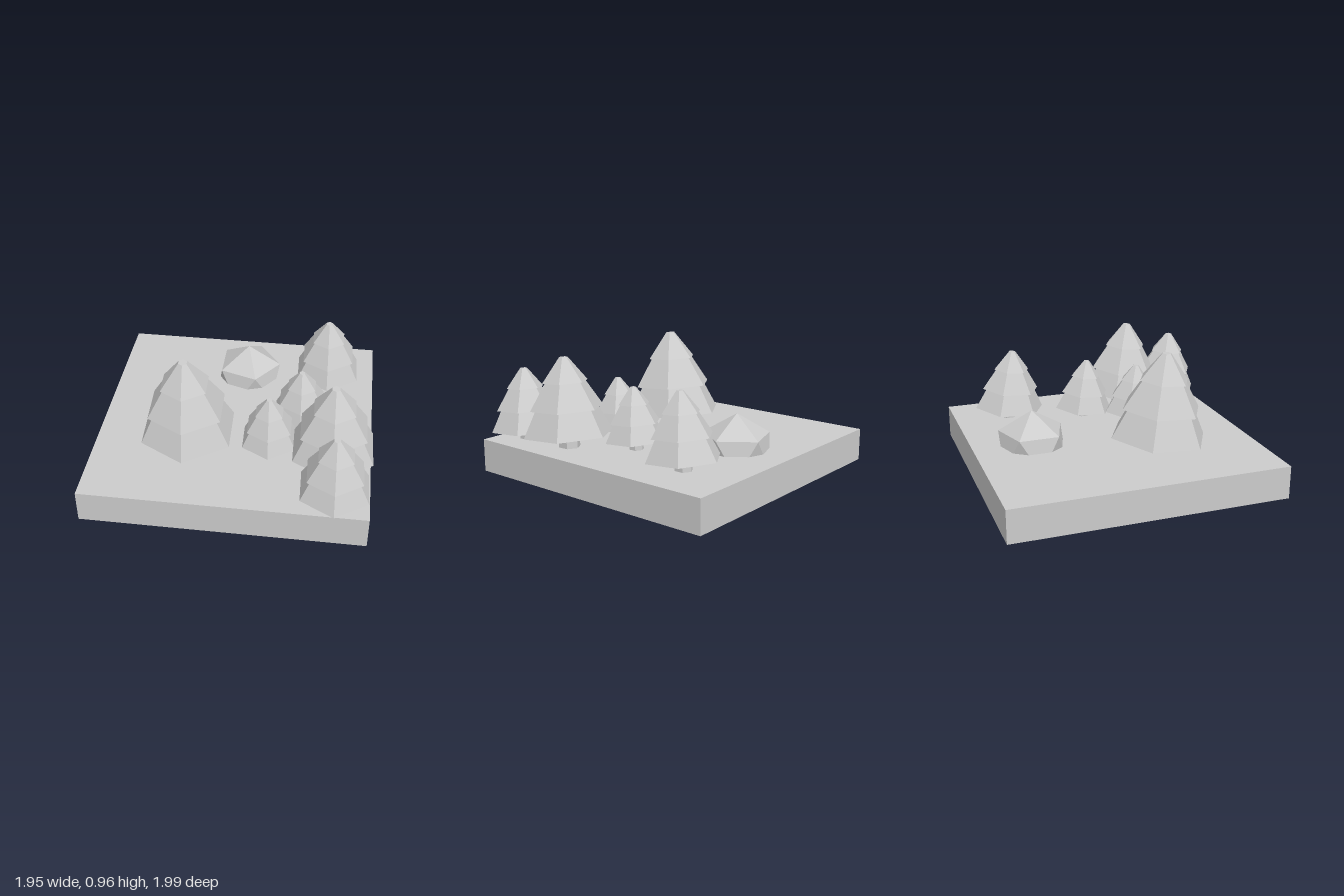
import * as THREE from 'three';

const material = new THREE.MeshStandardMaterial({ color: 0xcccccc, flatShading: true });

function addMesh(parent, name, geometry, x = 0, y = 0, z = 0) {
  const mesh = new THREE.Mesh(geometry, material);
  mesh.name = name;
  mesh.position.set(x, y, z);
  parent.add(mesh);
  return mesh;
}

// Foliage tiers, bottom to top: [rim radius, upper radius, rim height, upper height]
const TIERS = [
  [0.355, 0.25, 0, 0.205],
  [0.29, 0.16, 0.205, 0.41],
  [0.18, 0.033, 0.41, 0.6],
];

// Six-sided fir; its origin is the centre of the lowest rim
function createTree() {
  const tree = new THREE.Group();
  tree.name = 'tree';
  addMesh(tree, 'trunk', new THREE.CylinderGeometry(0.085, 0.085, 0.18, 6), 0, -0.08, 0);
  for (const [rim, top, low, high] of TIERS) {
    addMesh(tree, 'foliageTier', new THREE.CylinderGeometry(top, rim, high - low, 6), 0, (low + high) / 2, 0);
  }
  // All trees lean slightly forward
  tree.rotation.set(0.08, 0.03, 0.017);
  return tree;
}

export function createModel() {
  const model = new THREE.Group();
  model.name = 'forestTile';

  // Square ground slab
  addMesh(model, 'ground', new THREE.BoxGeometry(1.94, 0.233, 1.94), -0.01, 0.175, -0.03);

  // Boulder standing on one corner, its tip poking out below the slab
  const rock = addMesh(model, 'boulder', new THREE.IcosahedronGeometry(0.268, 0), 0, 0.27, -0.572);
  rock.rotation.z = -Math.atan(2 / (1 + Math.sqrt(5)));

  // Trees: [x, rim height, z, scale]
  const trees = [
    [-0.335, 0.365, 0.25, 1],
    [0.247, 0.35, 0.275, 0.6],
    [0.447, 0.353, -0.05, 0.615],
    [0.608, 0.365, -0.59, 0.73],
    [0.693, 0.38, 0.35, 0.89],
    [0.722, 0.357, 0.733, 0.73],
  ];
  for (const [x, y, z, scale] of trees) {
    const tree = createTree();
    tree.position.set(x, y, z);
    tree.scale.setScalar(scale);
    model.add(tree);
  }
  return model;
}
